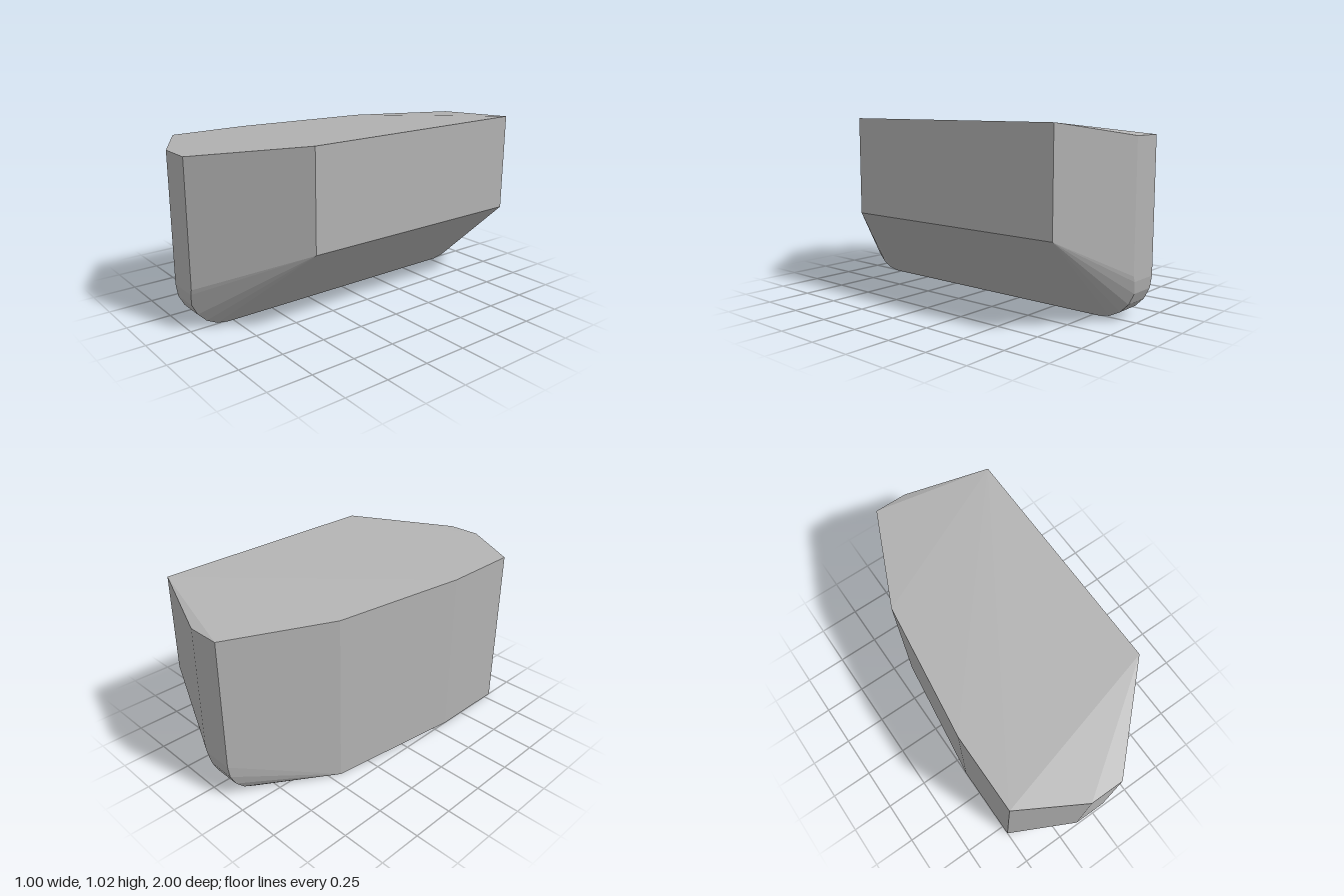
import * as THREE from 'three';
import { ConvexGeometry } from 'three/addons/geometries/ConvexGeometry.js';

export function createModel() {
  const group = new THREE.Group();
  group.name = 'facetedBlock';
  const grey = new THREE.MeshStandardMaterial({ color: 0xb2b2b2, flatShading: true });
  grey.name = 'plain grey';

  const points = [];
  const add = (x, y, z) => points.push(new THREE.Vector3(x, y, z));

  // upright corners of the -x side: [x, z], from the base to the top rim
  for (const [x, z] of [[-0.5, 0.8], [-0.5, 0.35], [-0.4, -0.44]]) {
    add(x, 0, z);
    add(x, 0.95, z);
  }

  // raised +x wall above the slanted underside
  for (const z of [0.54, -0.83]) {
    add(0.5, 0.47, z);
    add(0.5, 1.02, z);
  }

  // front and back ends with a rounded lower edge
  const radius = 0.22;
  const steps = 5;
  for (const side of [1, -1]) {
    add(-0.15, 0.95, side);
    add(0.04, 0.95, side);
    add(0.04, 0.25, side);
    add(0.03, radius, side);
    for (let i = 0; i <= steps; i++) {
      const a = (i / steps) * Math.PI / 2;
      const y = radius * (1 - Math.sin(a));
      const z = side * (1 - radius + radius * Math.cos(a));
      add(-0.15, y, z);
      if (i > 0) add(0.01, y, z);
    }
  }

  const body = new THREE.Mesh(new ConvexGeometry(points), grey);
  body.name = 'body';
  group.add(body);
  return group;
}
